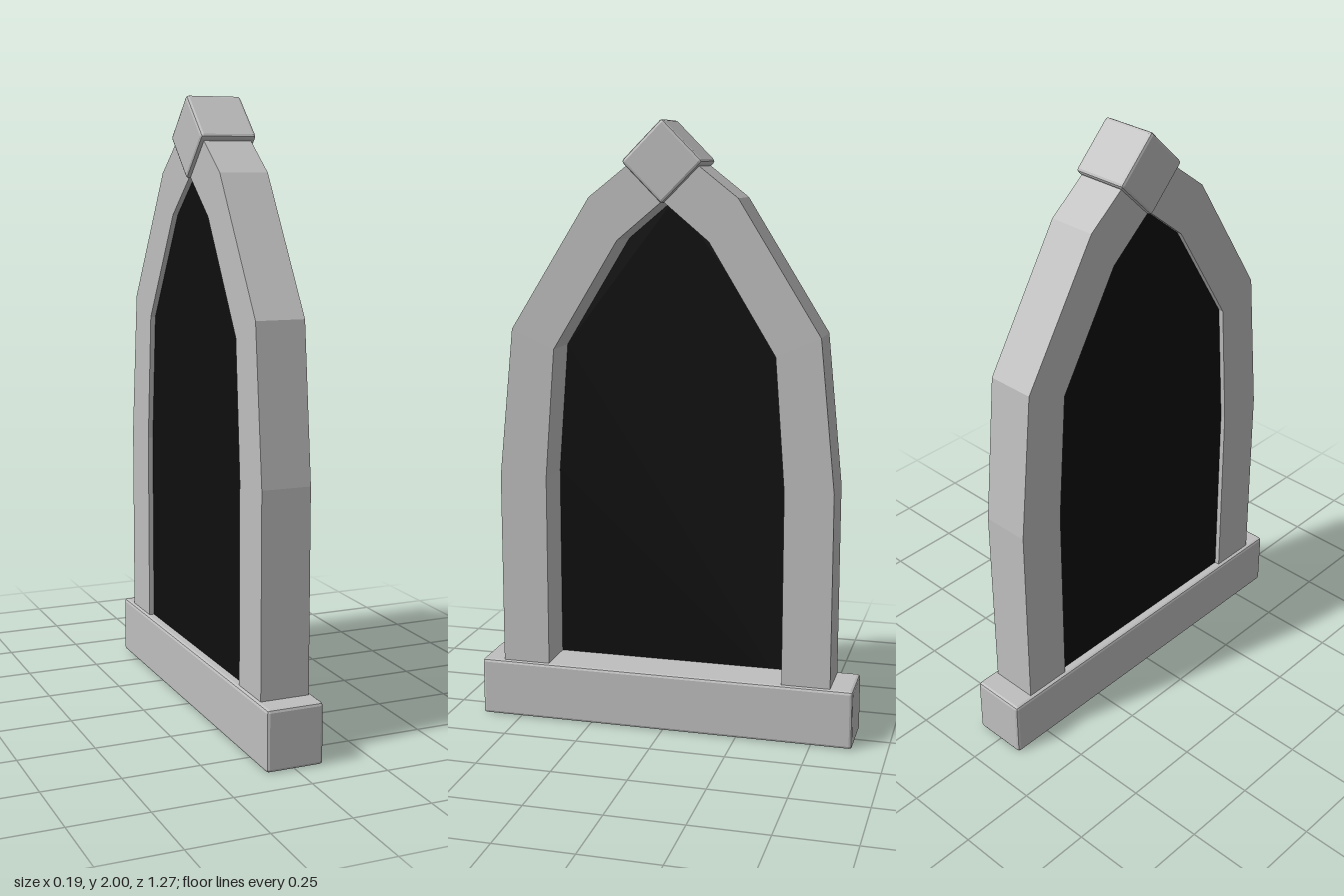
import * as THREE from 'three';
import { RoundedBoxGeometry } from 'three/addons/geometries/RoundedBoxGeometry.js';

export function createModel() {
  const group = new THREE.Group();
  group.name = 'archedWindow';
  const stone = new THREE.MeshStandardMaterial({ color: 0xbfbfbf, flatShading: true });
  stone.name = 'stone grey';
  const dark = new THREE.MeshStandardMaterial({ color: 0x0e0e0e, side: THREE.DoubleSide });
  dark.name = 'dark opening';

  const add = (name, geometry, material) => {
    const mesh = new THREE.Mesh(geometry, material);
    mesh.name = name;
    group.add(mesh);
    return mesh;
  };

  // Half profiles [half width, height], from the foot up to the apex
  const outer = [[0.56, 0.1], [0.56, 0.84], [0.51, 1.333], [0.243, 1.76], [0, 1.95]];
  const inner = [[0.4, 0.1], [0.4, 0.84], [0.367, 1.27], [0.15, 1.625], [0, 1.75]];
  const arch = (half) => [
    ...half,
    ...half.slice(0, -1).reverse().map(([w, y]) => [-w, y]),
  ].map(([w, y]) => new THREE.Vector2(w, y));

  // Pointed arch frame, its feet sunk into the sill
  const frameShape = new THREE.Shape([...arch(outer), ...arch(inner).reverse()]);
  const frame = new THREE.ExtrudeGeometry(frameShape, { depth: 0.16, bevelEnabled: false });
  frame.translate(0, 0, -0.08).rotateY(Math.PI / 2);
  add('archFrame', frame, stone);

  // Dark pane set close to the -x face
  const pane = new THREE.ShapeGeometry(new THREE.Shape(arch(inner)));
  pane.rotateY(Math.PI / 2).translate(-0.063, 0, 0);
  add('pane', pane, dark);

  // Chamfered sill
  add('sill', new RoundedBoxGeometry(0.187, 0.195, 1.272, 1, 0.01), stone).position.y = 0.0975;

  // Chamfered keystone turned onto its corner
  const keystone = add('keystone', new RoundedBoxGeometry(0.187, 0.187, 0.187, 1, 0.01), stone);
  keystone.position.y = 1.872;
  keystone.rotation.x = Math.PI / 4;

  return group;
}
